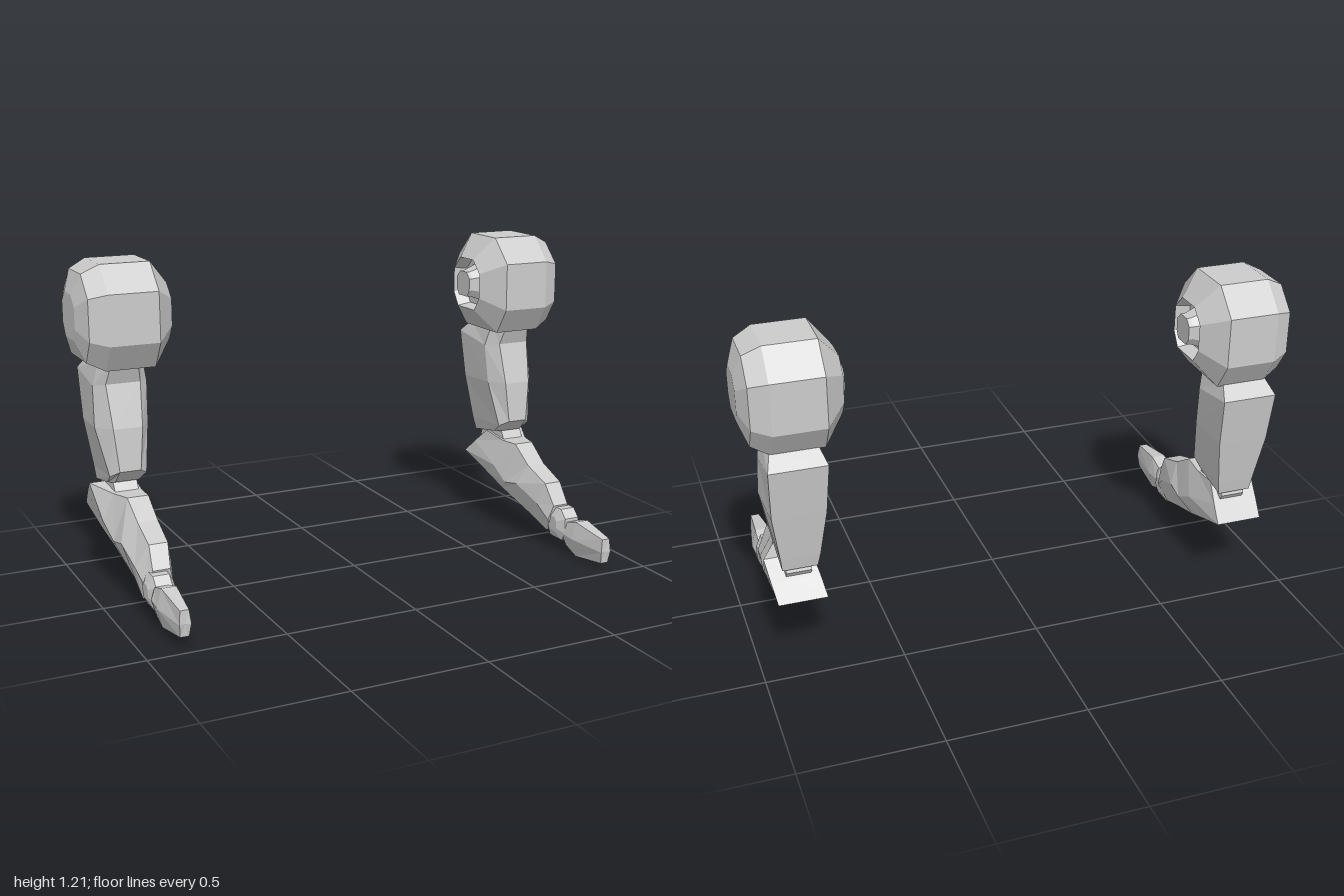
import * as THREE from 'three';

const material = new THREE.MeshStandardMaterial({ color: 0xcccccc, flatShading: true });

// Skin a closed solid over rings of [x, y, z] points, capped at both ends.
function loft(name, rings, side) {
  const n = rings[0].length;
  const pos = [];
  const tri = (a, b, c) => pos.push([a, b, c]);
  for (let i = 0; i < rings.length - 1; i++) {
    for (let j = 0; j < n; j++) {
      const k = (j + 1) % n;
      const [a, b, c, d] = [rings[i][j], rings[i][k], rings[i + 1][k], rings[i + 1][j]];
      tri(a, b, c);
      tri(a, c, d);
    }
  }
  const cap = (ring, flip) => {
    const mid = [0, 1, 2].map(a => ring.reduce((s, p) => s + p[a], 0) / n);
    ring.forEach((p, j) => {
      const q = ring[(j + 1) % n];
      flip ? tri(mid, q, p) : tri(mid, p, q);
    });
  };
  cap(rings[0], true);
  cap(rings[rings.length - 1], false);

  // Mirror, then turn all faces outward by the sign of the volume
  const tris = pos.map(t => t.map(p => new THREE.Vector3(p[0] * side, p[1], p[2])));
  const volume = tris.reduce((s, [a, b, c]) => s + a.dot(b.clone().cross(c)), 0);
  const points = tris.flatMap(([a, b, c]) => (volume < 0 ? [a, c, b] : [a, b, c]));
  const geometry = new THREE.BufferGeometry().setFromPoints(points);
  geometry.computeVertexNormals();
  const mesh = new THREE.Mesh(geometry, material);
  mesh.name = name;
  return mesh;
}

// Six-sided ring from three pairs [z, y, inner x, outer x]
const limbRing = pairs => [
  ...pairs.map(([z, y, , out]) => [out, y, z]),
  ...[...pairs].reverse().map(([z, y, inner]) => [inner, y, z]),
];

// Eight-sided ring in the y-z plane
const OCTAGON = [[0.093, 0.19], [0.188, 0.095], [0.188, -0.09], [0.122, -0.19],
  [-0.122, -0.19], [-0.188, -0.09], [-0.188, 0.095], [-0.093, 0.19]];
const octRing = (x, scale, y, z) => OCTAGON.map(([dz, dy]) => [x, y + dy * scale, z + dz * scale]);

// [front pair, middle pair, back pair], from shoulder to elbow
const UPPER_ARM = [
  [[-0.18, 0.85, 0.78, 0.88], [-0.24, 0.85, 0.745, 0.91], [-0.40, 0.84, 0.745, 0.91]],
  [[-0.21, 0.77, 0.765, 0.895], [-0.26, 0.76, 0.725, 0.93], [-0.46, 0.79, 0.725, 0.93]],
  [[-0.17, 0.61, 0.775, 0.885], [-0.24, 0.61, 0.732, 0.935], [-0.43, 0.60, 0.735, 0.925]],
  [[-0.16, 0.45, 0.79, 0.87], [-0.19, 0.43, 0.76, 0.90], [-0.40, 0.42, 0.76, 0.90]],
  [[-0.21, 0.40, 0.785, 0.875], [-0.24, 0.395, 0.77, 0.895], [-0.39, 0.37, 0.77, 0.895]],
];
const ELBOW = [
  [[-0.23, 0.42, 0.79, 0.88], [-0.30, 0.42, 0.785, 0.885], [-0.35, 0.42, 0.79, 0.88]],
  [[-0.19, 0.35, 0.79, 0.88], [-0.30, 0.35, 0.785, 0.885], [-0.38, 0.35, 0.79, 0.88]],
  [[-0.19, 0.30, 0.79, 0.88], [-0.30, 0.30, 0.785, 0.885], [-0.36, 0.32, 0.79, 0.88]],
];
// [top pair, middle pair, bottom pair], from elbow to wrist
const FOREARM = [
  [[-0.31, 0.38, 0.775, 0.945], [-0.38, 0.32, 0.76, 0.935], [-0.44, 0.265, 0.75, 0.925]],
  [[-0.19, 0.365, 0.78, 0.89], [-0.20, 0.26, 0.745, 0.93], [-0.28, 0.205, 0.765, 0.91]],
  [[-0.10, 0.37, 0.785, 0.865], [-0.11, 0.21, 0.745, 0.92], [-0.18, 0.165, 0.775, 0.895]],
  [[0.00, 0.305, 0.785, 0.86], [-0.03, 0.225, 0.75, 0.915], [0.00, 0.10, 0.80, 0.88]],
  [[0.12, 0.26, 0.79, 0.86], [0.09, 0.175, 0.77, 0.905], [0.11, 0.06, 0.81, 0.885]],
  [[0.17, 0.18, 0.80, 0.865], [0.155, 0.12, 0.785, 0.89], [0.14, 0.08, 0.81, 0.88]],
];
const HAND = [
  [[0.20, 0.10, 0.83, 0.88], [0.195, 0.08, 0.82, 0.885], [0.20, 0.05, 0.83, 0.88]],
  [[0.22, 0.125, 0.825, 0.88], [0.22, 0.08, 0.81, 0.895], [0.22, 0.028, 0.83, 0.88]],
  [[0.29, 0.145, 0.825, 0.88], [0.29, 0.075, 0.81, 0.898], [0.29, 0.003, 0.83, 0.88]],
  [[0.45, 0.12, 0.838, 0.87], [0.455, 0.07, 0.832, 0.874], [0.445, 0.023, 0.838, 0.87]],
];

// [x, scale] profile: domed outer face, body, rim, socket and peg
const SHOULDER = [[1.0, 0.43], [0.97, 0.83], [0.905, 1], [0.72, 1], [0.645, 0.53],
  [0.70, 0.48], [0.70, 0.36], [0.645, 0.26], [0.63, 0.26]];
const WRIST = [[0.795, 0.15], [0.815, 0.33], [0.875, 0.33], [0.895, 0.15]];

function arm(name, side) {
  const group = new THREE.Group();
  group.name = name;
  const limb = (part, rings) => loft(part, rings.map(limbRing), side);
  const round = (part, profile, y, z) => loft(part, profile.map(([x, s]) => octRing(x, s, y, z)), side);
  const hand = limb('hand', HAND);
  // The right hand is held slightly higher
  if (side < 0) hand.position.set(0, 0.02, 0.013);
  group.add(
    round('shoulder', SHOULDER, 1.02, -0.282),
    limb('upperArm', UPPER_ARM),
    limb('elbow', ELBOW),
    limb('forearm', FOREARM),
    round('wrist', WRIST, 0.11, 0.17),
    hand,
  );
  return group;
}

export function createModel() {
  const model = new THREE.Group();
  model.name = 'armPair';
  model.add(arm('leftArm', 1), arm('rightArm', -1));
  return model;
}
